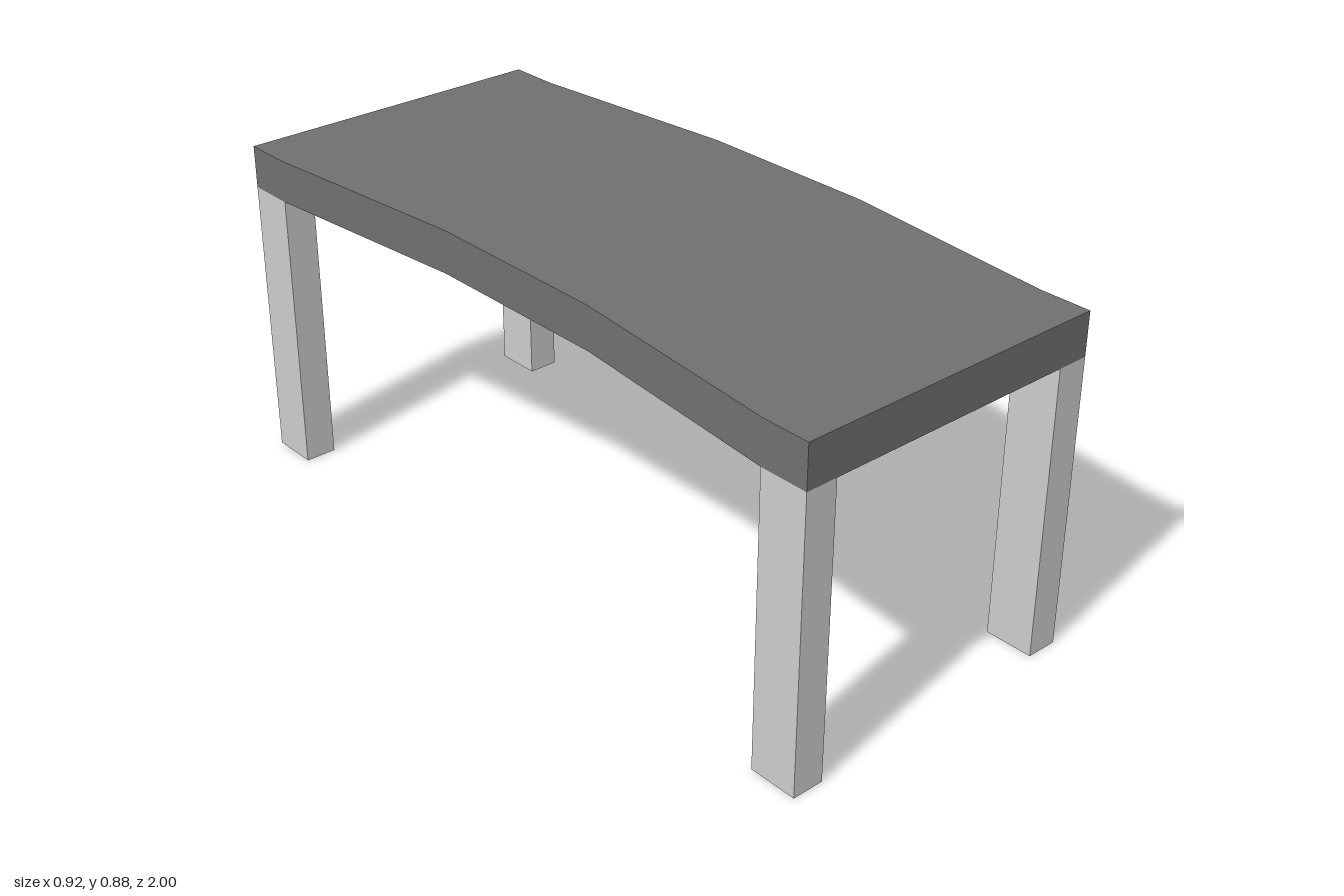
import * as THREE from 'three';

export function createModel() {
  const group = new THREE.Group();
  const topMaterial = new THREE.MeshStandardMaterial({ color: 0x707070, flatShading: true });
  const legMaterial = new THREE.MeshStandardMaterial({ color: 0xcccccc, flatShading: true });

  const height = 0.875, legHeight = 0.762;
  const legWidth = 0.085, legDepth = 0.13;

  // Curved slab: one bowed side, and the same bow carried across the width
  const outline = [
    [0.4, -1], [0.4, -0.86], [0.46, -0.25], [0.46, 0.25], [0.4, 0.86], [0.4, 1],
    [-0.46, 1], [-0.46, 0.87], [-0.402, 0.26], [-0.402, -0.26], [-0.46, -0.87], [-0.46, -1],
  ];
  const shape = new THREE.Shape(outline.map(([x, z]) => new THREE.Vector2(x, z)));
  const slab = new THREE.ExtrudeGeometry(shape, { depth: height - legHeight, bevelEnabled: false });
  slab.rotateX(-Math.PI / 2);
  const top = new THREE.Mesh(slab, topMaterial);
  top.name = 'tableTop';
  top.position.y = legHeight;
  group.add(top);

  // Four square-cut legs, flush with the corners of the slab
  const legGeometry = new THREE.BoxGeometry(legWidth, legHeight, legDepth);
  for (const [side, x] of [['Right', -0.46 + legWidth / 2], ['Left', 0.4 - legWidth / 2]]) {
    for (const [end, sign] of [['front', 1], ['back', -1]]) {
      const leg = new THREE.Mesh(legGeometry, legMaterial);
      leg.name = `${end}${side}Leg`;
      leg.position.set(x, legHeight / 2, sign * (1 - legDepth / 2));
      group.add(leg);
    }
  }
  return group;
}
